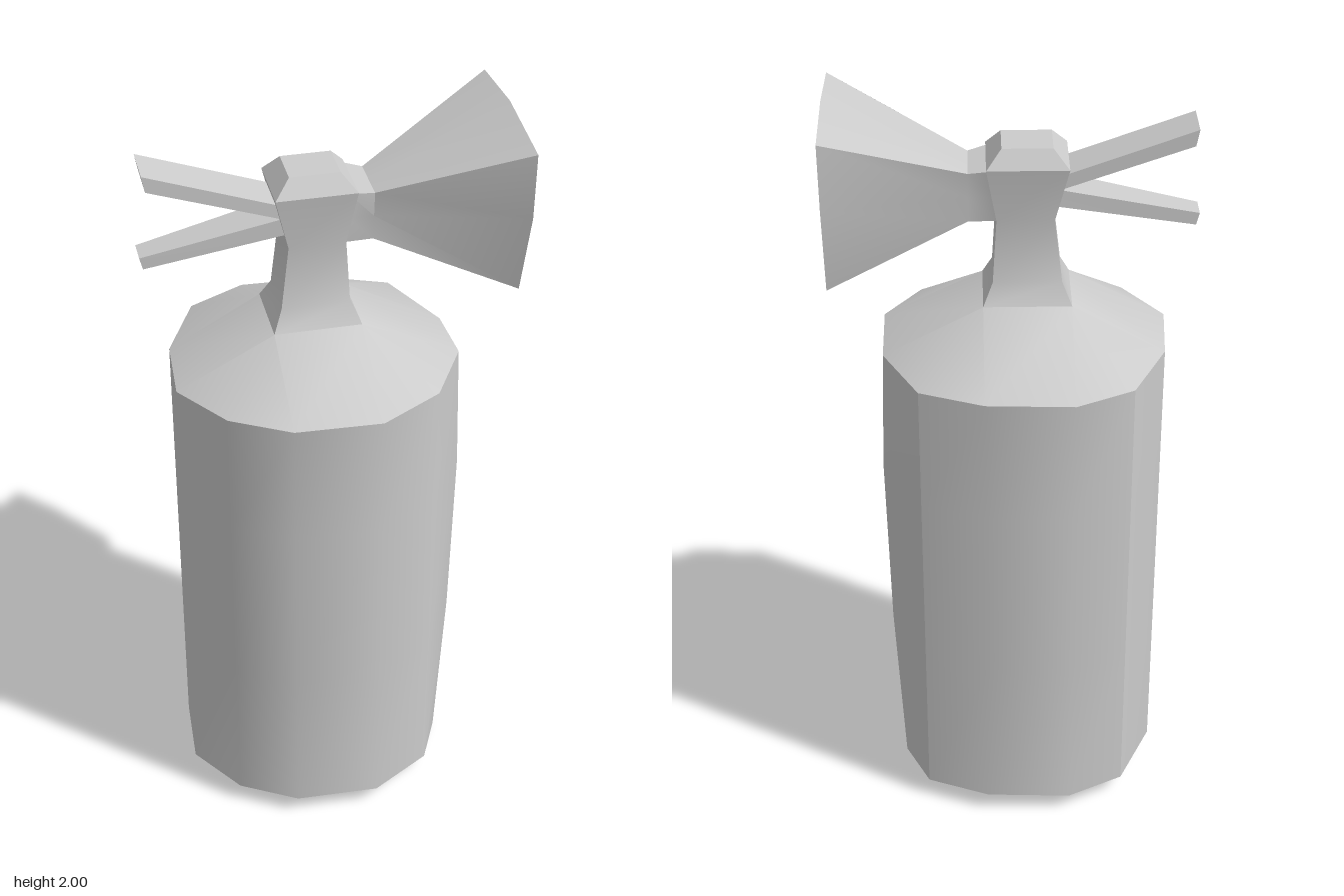
import * as THREE from 'three';
import { toCreasedNormals } from 'three/addons/utils/BufferGeometryUtils.js';

const CZ = 0.008; // depth of the centre line
const grey = new THREE.MeshStandardMaterial({ color: 0xcccccc });

// Skin a list of equal-length rings and close both ends with fans.
// Rings run counter-clockwise seen from the far end of the loft.
function loft(name, rings, capStart = true, capEnd = true) {
  const pos = [];
  const tri = (a, b, c) => {
    const n = b.clone().sub(a).cross(c.clone().sub(a));
    if (n.length() > 1e-7) for (const p of [a, b, c]) pos.push(p.x, p.y, p.z);
  };
  const cap = (ring, flip) => {
    const mid = ring.reduce((s, p) => s.add(p), new THREE.Vector3()).divideScalar(ring.length);
    ring.forEach((p, i) => {
      const q = ring[(i + 1) % ring.length];
      if (flip) tri(mid, q, p); else tri(mid, p, q);
    });
  };
  for (let r = 0; r < rings.length - 1; r++) {
    const a = rings[r], b = rings[r + 1];
    for (let i = 0; i < a.length; i++) {
      const j = (i + 1) % a.length;
      tri(a[i], a[j], b[j]);
      tri(a[i], b[j], b[i]);
    }
  }
  if (capStart) cap(rings[0], true);
  if (capEnd) cap(rings[rings.length - 1], false);
  const geo = new THREE.BufferGeometry();
  geo.setAttribute('position', new THREE.Float32BufferAttribute(pos, 3));
  const mesh = new THREE.Mesh(toCreasedNormals(geo, 0.6), grey);
  mesh.name = name;
  return mesh;
}

const V = (x, y, z) => new THREE.Vector3(x, y, z);

// Horizontal rectangle
const rect = (y, x0, x1, hz) =>
  [V(x1, y, CZ + hz), V(x1, y, CZ - hz), V(x0, y, CZ - hz), V(x0, y, CZ + hz)];

// Twelve-sided tank that narrows to the square neck
function tank() {
  const outline = [
    [0.33, -0.085], [0.24, -0.28], [0.075, -0.345],
    [-0.15, -0.355], [-0.3, -0.28], [-0.39, -0.09],
    [-0.403, 0.105], [-0.3, 0.255], [-0.15, 0.34],
    [0.075, 0.35], [0.24, 0.255], [0.33, 0.1],
  ];
  // the two points on the +x side bulge and dip
  const ring = (y, sideX, yBack, yFront) => outline.map(([x, z], i) =>
    i === 0 ? V(sideX, yBack, z) : i === 11 ? V(sideX, yFront, z) : V(x, y, z));
  // three outline points meet at each neck corner
  const c = rect(1.475, -0.15, 0.075, 0.098);
  const neck = [1, 1, 1, 2, 2, 2, 3, 3, 3, 0, 0, 0].map((k) => c[k]);
  return loft('tank', [
    ring(0.06, 0.308, 0.005, 0.03),
    ring(0.5, 0.333, 0.5, 0.5),
    ring(1.0, 0.343, 1.0, 1.0),
    ring(1.34, 0.333, 1.335, 1.352),
    neck,
  ], true, false);
}

// Neck and valve head
function valve() {
  return loft('valve', [
    rect(1.475, -0.15, 0.075, 0.098),
    rect(1.53, -0.125, 0.05, 0.069),
    rect(1.7, -0.105, 0.04, 0.065),
    rect(1.845, -0.14, 0.065, 0.087),
    rect(1.89, -0.1, 0.027, 0.055),
  ], false, true);
}

// Eight-point upright ring facing +x, from (z, y) pairs
const upright = (x, pts) => pts.map(([z, y]) => V(x, y, z));

// Tapered upright ring with half widths w0 (bottom) and w1 (top)
function trapezoid(y0, y1, w0, w1) {
  const m = (y0 + y1) / 2, w = (w0 + w1) / 2;
  return [[-w, m], [-w1, y1], [0, y1], [w1, y1], [w, m], [w0, y0], [0, y0], [-w0, y0]]
    .map(([z, y]) => [CZ + z, y]);
}

// Flared discharge horn with a recessed mouth
function horn() {
  const rim = [[-0.2, 1.8], [-0.215, 1.98], [0, 2], [0.235, 1.975],
    [0.23, 1.8], [0.16, 1.56], [0, 1.54], [-0.14, 1.555]];
  return loft('horn', [
    upright(0.04, trapezoid(1.7, 1.845, 0.065, 0.086)),
    upright(0.11, trapezoid(1.695, 1.83, 0.055, 0.068)),
    upright(0.463, rim),
    upright(0.28, trapezoid(1.635, 1.9, 0.095, 0.145)),
  ]);
}

// Flat lever reaching out to -x; each end is [x bottom, y bottom, x top, y top, half width]
function lever(name, ...ends) {
  return loft(name, ends.map(([xb, yb, xt, yt, w]) =>
    [V(xb, yb, CZ + w), V(xt, yt, CZ + w), V(xt, yt, CZ - w), V(xb, yb, CZ - w)]));
}

export function createModel() {
  const group = new THREE.Group();
  group.name = 'fireExtinguisher';
  group.add(
    tank(),
    valve(),
    horn(),
    lever('upperLever', [-0.1, 1.773, -0.1, 1.809, 0.058], [-0.447, 1.893, -0.455, 1.936, 0.058]),
    lever('lowerLever', [-0.09, 1.736, -0.09, 1.783, 0.055], [-0.46, 1.668, -0.468, 1.7, 0.032]),
  );
  return group;
}
